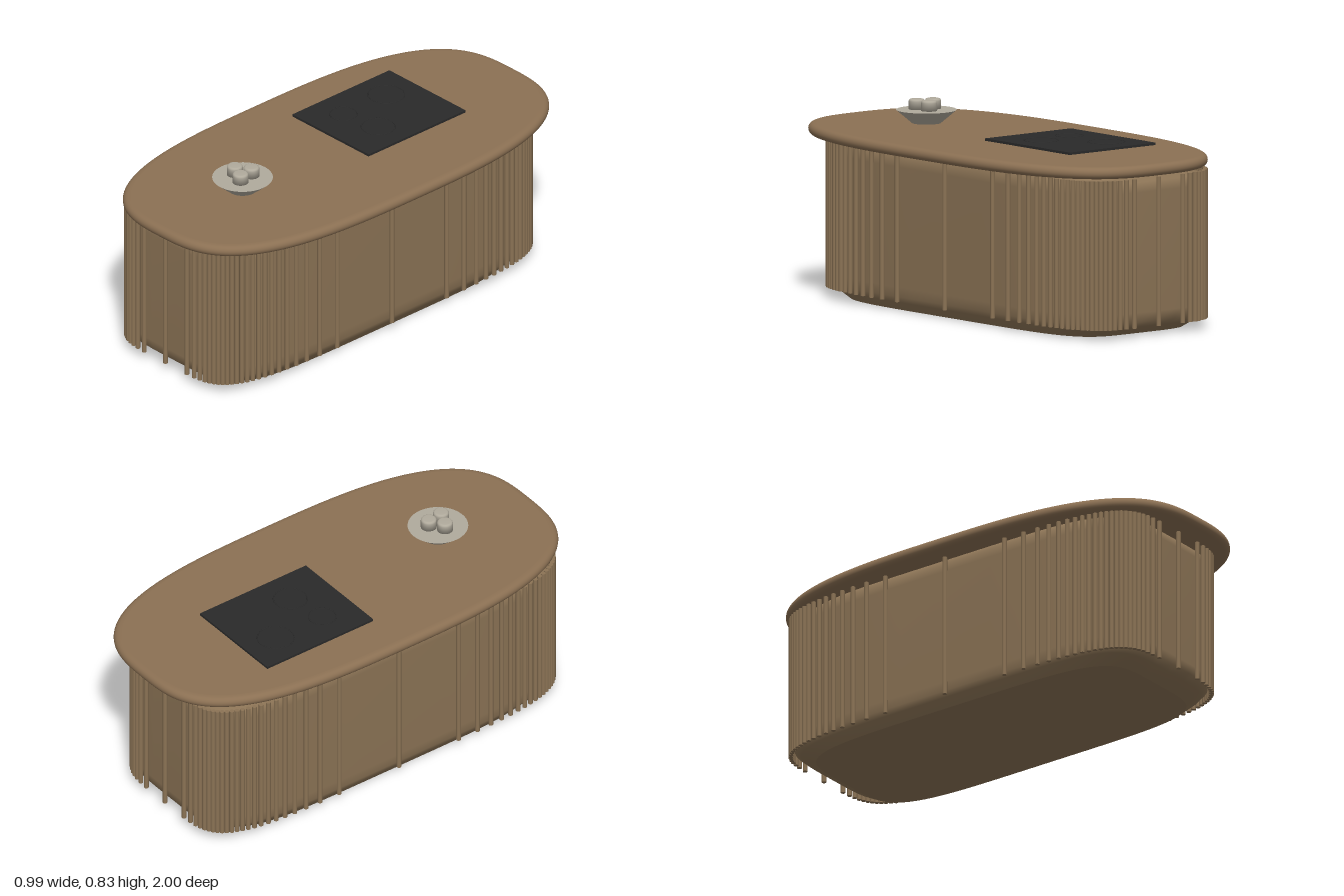
import * as THREE from 'three';

const wood = new THREE.MeshStandardMaterial({ color: 0x8b7355, name: 'wood' });
const counterWood = new THREE.MeshStandardMaterial({ color: 0x8b7053, name: 'counterWood' });
const blackGlass = new THREE.MeshStandardMaterial({ color: 0x2a2a2a, name: 'blackGlass' });
const ceramic = new THREE.MeshStandardMaterial({ color: 0xb0aa9c, name: 'ceramic' });

// Point on a superellipse with half sizes a (x) and b (z)
function superPoint(t, a, b, n) {
  const c = Math.cos(t), s = Math.sin(t), p = 2 / n;
  return [a * Math.sign(c) * Math.abs(c) ** p, b * Math.sign(s) * Math.abs(s) ** p];
}

// Solid lofted through superellipse rings [halfX, halfZ, y] from bottom to top, with flat caps
function loft(rings, n, segs = 192) {
  const pos = [], idx = [];
  const addRing = ([a, b, y]) => {
    const start = pos.length / 3;
    for (let i = 0; i < segs; i++) {
      const [x, z] = superPoint((i / segs) * Math.PI * 2, a, b, n);
      pos.push(x, y, z);
    }
    return start;
  };
  const starts = rings.map(addRing);
  for (let k = 0; k < rings.length - 1; k++) {
    for (let i = 0; i < segs; i++) {
      const j = (i + 1) % segs, lo = starts[k], hi = starts[k + 1];
      idx.push(lo + i, hi + i, lo + j, lo + j, hi + i, hi + j);
    }
  }
  for (const top of [false, true]) {
    const ring = top ? rings[rings.length - 1] : rings[0];
    const s = addRing(ring), centre = pos.length / 3;
    pos.push(0, ring[2], 0);
    for (let i = 0; i < segs; i++) {
      const j = (i + 1) % segs;
      if (top) idx.push(centre, s + j, s + i);
      else idx.push(centre, s + i, s + j);
    }
  }
  const g = new THREE.BufferGeometry();
  g.setAttribute('position', new THREE.Float32BufferAttribute(pos, 3));
  g.setIndex(idx);
  g.computeVertexNormals();
  return g;
}

function add(parent, geometry, material, name, x = 0, y = 0, z = 0) {
  const m = new THREE.Mesh(geometry, material);
  m.name = name;
  m.position.set(x, y, z);
  parent.add(m);
  return m;
}

export function createModel() {
  const island = new THREE.Group();
  island.name = 'kitchenIsland';

  // Base, set slightly off centre under the counter
  const base = new THREE.Group();
  base.name = 'base';
  base.position.x = -0.046;
  island.add(base);
  const A = 0.384, B = 0.915;
  const profile = [[0.88, 0], [0.95, 0.036], [0.98, 0.06], [0.985, 0.1],
    [0.985, 0.6], [0.97, 0.64], [0.9, 0.668], [0.82, 0.678]];
  add(base, loft(profile.map(([s, y]) => [A * s, B * s, y]), 5), wood, 'baseBody');

  // Round slats spaced evenly by angle, so they bunch at the corners
  const slat = new THREE.CylinderGeometry(0.01, 0.01, 0.62, 10);
  const count = 96;
  for (let i = 0; i < count; i++) {
    const [x, z] = superPoint((i / count) * Math.PI * 2, A, B, 5);
    add(base, slat, wood, 'slat', x, 0.35, z);
  }

  // Counter with a rounded edge
  const edge = [];
  const r = 0.025, mid = 0.701;
  for (let i = 0; i <= 12; i++) {
    const t = -Math.PI / 2 + (i / 12) * Math.PI;
    const inset = 0.03 * (1 - Math.cos(t) ** 0.8);
    edge.push([0.496 - inset, 0.998 - inset, mid + r * Math.sin(t)]);
  }
  add(island, loft(edge, 3), counterWood, 'counter');

  // Cooktop with three burner rings
  const cooktop = new THREE.Group();
  cooktop.name = 'cooktop';
  island.add(cooktop);
  add(cooktop, new THREE.BoxGeometry(0.46, 0.01, 0.545), blackGlass, 'glassPlate', -0.075, 0.736, -0.311);
  for (const [x, z, rad] of [[-0.165, -0.435, 0.076], [-0.165, -0.195, 0.057], [0.011, -0.227, 0.07]]) {
    const ring = new THREE.TorusGeometry(rad, 0.0025, 8, 48);
    ring.rotateX(Math.PI / 2);
    add(cooktop, ring, blackGlass, 'burnerRing', x, 0.741, z);
  }

  // Dish holding three small rounded pots
  const dish = new THREE.Group();
  dish.name = 'dish';
  dish.position.set(0, 0, 0.525);
  island.add(dish);
  add(dish, new THREE.CylinderGeometry(0.125, 0.06, 0.055, 48), ceramic, 'dishBowl', 0, 0.758, 0);
  const potProfile = [[0, 0], [0.033, 0], [0.033, 0.034], [0.0315, 0.039], [0.028, 0.0425], [0.023, 0.044], [0, 0.044]];
  const pot = new THREE.LatheGeometry(potProfile.map(([x, y]) => new THREE.Vector2(x, y)), 32);
  for (const [x, z] of [[-0.04, 0.006], [0.015, -0.036], [0.024, 0.034]]) {
    add(dish, pot, ceramic, 'pot', x, 0.785, z);
  }

  return island;
}
